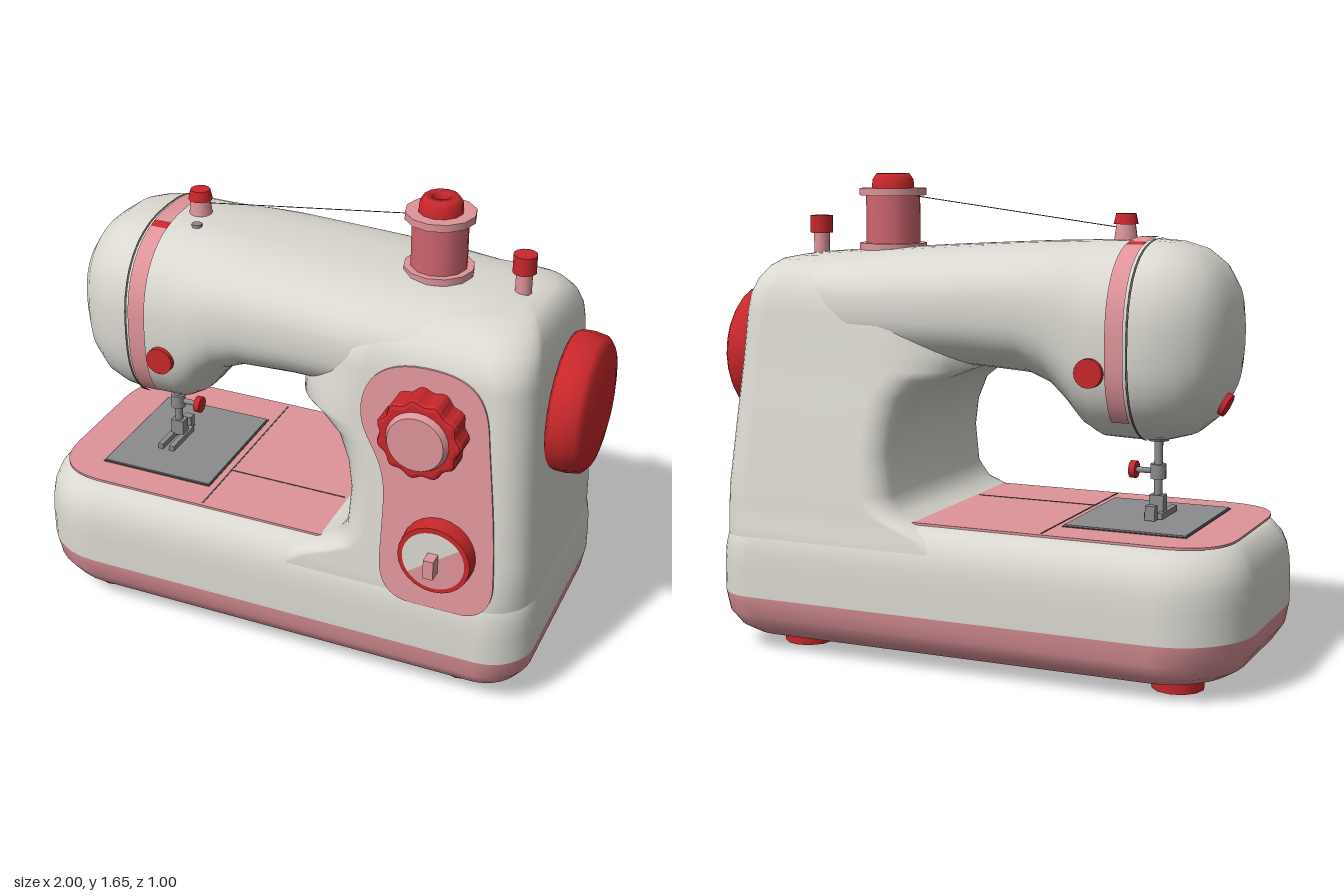
import * as THREE from 'three';

const mat = (name, color) => {
  const m = new THREE.MeshStandardMaterial({ color });
  m.name = name;
  return m;
};

// Closed loft through rings of equal length; ends are fanned shut on request.
function loft(rings, capStart = true, capEnd = true) {
  const n = rings[0].length, pos = rings.flat().flat(), idx = [];
  for (let i = 0; i < rings.length - 1; i++) {
    for (let j = 0; j < n; j++) {
      const a = i * n + j, b = i * n + (j + 1) % n;
      idx.push(a, b, a + n, b, b + n, a + n);
    }
  }
  const cap = (i, flip) => {
    const c = pos.length / 3;
    for (let k = 0; k < 3; k++) pos.push(rings[i].reduce((s, p) => s + p[k], 0) / n);
    for (let j = 0; j < n; j++) {
      const a = i * n + j, b = i * n + (j + 1) % n;
      flip ? idx.push(b, a, c) : idx.push(a, b, c);
    }
  };
  if (capStart) cap(0, true);
  if (capEnd) cap(rings.length - 1, false);
  const g = new THREE.BufferGeometry();
  g.setAttribute('position', new THREE.Float32BufferAttribute(pos, 3));
  g.setIndex(idx);
  g.computeVertexNormals();
  return g;
}

// Rounded rectangle in plan at height y, with separate left and right radii.
function plan(y, x0, x1, z0, z1, rl, rr) {
  const pts = [], k = 8;
  [[x1 - rr, z1 - rr, rr], [x0 + rl, z1 - rl, rl], [x0 + rl, z0 + rl, rl], [x1 - rr, z0 + rr, rr]].forEach(([cx, cz, r], q) => {
    for (let i = 0; i <= k; i++) {
      const t = (q + i / k) * Math.PI / 2;
      pts.push([cx + r * Math.cos(t), y, cz + r * Math.sin(t)]);
    }
  });
  return pts.reverse();
}

const ZC = -0.025;
// Point on the arm's superellipse cross-section.
function armPoint(x, yb, yt, hz, t) {
  const p = (v) => Math.sign(v) * Math.abs(v) ** 0.8;
  return [x, (yb + yt) / 2 + (yt - yb) / 2 * p(Math.sin(t)), ZC + hz * p(Math.cos(t))];
}

// Open strip wrapped around the arm between two angles.
function armStrip(x0, x1, t0, t1, off) {
  const pos = [], idx = [], n = 40;
  for (let i = 0; i <= n; i++) {
    const t = t0 + (t1 - t0) * i / n;
    for (const x of [x0, x1]) pos.push(...armPoint(x, 0.78 - off, 1.443 + off, 0.335 + off, t));
    if (i < n) idx.push(2 * i, 2 * i + 1, 2 * i + 2, 2 * i + 1, 2 * i + 3, 2 * i + 2);
  }
  const g = new THREE.BufferGeometry();
  g.setAttribute('position', new THREE.Float32BufferAttribute(pos, 3));
  g.setIndex(idx);
  g.computeVertexNormals();
  return g;
}

const frontZ = (y) => 0.418 - (y - 0.4) * 0.091;

export function createModel() {
  const group = new THREE.Group();
  const white = mat('warm white', 0xdad8d0);
  const pink = mat('pink', 0xde949a);
  const rose = mat('rose thread', 0xcf6570);
  const red = mat('red', 0xc8272b);
  const grey = mat('metal grey', 0x8c8c8e);
  const dark = mat('dark seam', 0x55504f);

  const add = (name, geo, m, x = 0, y = 0, z = 0) => {
    const mesh = new THREE.Mesh(geo, m);
    mesh.name = name;
    mesh.position.set(x, y, z);
    group.add(mesh);
    return mesh;
  };
  const cyl = (name, m, rt, rb, h, x, y, z, seg = 12) => add(name, new THREE.CylinderGeometry(rt, rb, h, seg), m, x, y, z);
  const disc = (name, m, r, h, x, y, z, seg = 20, r2 = r) => {
    const d = cyl(name, m, r, r2, h, x, y, z, seg);
    d.rotation.x = Math.PI / 2;
    return d;
  };
  const box = (name, m, w, h, d, x, y, z) => add(name, new THREE.BoxGeometry(w, h, d), m, x, y, z);

  // Base: pink skirt below, white tray above
  const baseRing = ([y, i]) => plan(y, -1 + i, 0.895 - i, -0.5 + i, 0.43 - i, 0.27 - i * 0.6, 0.16 - i * 0.5);
  add('baseSkirt', loft([[0.05, 0.14], [0.05, 0.09], [0.08, 0.045], [0.13, 0.012], [0.2, 0]].map(baseRing), true, false), pink);
  add('baseTray', loft([[0.2, 0], [0.3, 0], [0.36, 0.004], [0.4, 0.011], [0.44, 0.027], [0.475, 0.055], [0.492, 0.085], [0.493, 0.14]].map(baseRing), false, true), white);

  // Column: [y, left, right, back, front, left radius, right radius]
  add('column', loft([
    [0.34, -0.1, 0.882, -0.485, 0.414, 0.12, 0.16], [0.4, -0.08, 0.884, -0.487, frontZ(0.4), 0.12, 0.155],
    [0.45, 0, 0.883, -0.477, frontZ(0.45), 0.11, 0.145],
    [0.49, 0.11, 0.882, -0.47, frontZ(0.49), 0.1, 0.135], [0.52, 0.19, 0.88, -0.467, frontZ(0.52), 0.09, 0.13],
    [0.58, 0.232, 0.876, -0.46, frontZ(0.58), 0.09, 0.12], [0.72, 0.24, 0.867, -0.44, frontZ(0.72), 0.09, 0.12],
    [0.82, 0.22, 0.861, -0.425, frontZ(0.82), 0.1, 0.12], [0.91, 0.17, 0.856, -0.41, frontZ(0.91), 0.13, 0.12],
    [0.97, 0.08, 0.853, -0.4, frontZ(0.97), 0.18, 0.12], [1.0, 0.01, 0.851, -0.395, frontZ(1), 0.23, 0.12],
    [1.06, 0, 0.848, -0.387, frontZ(1.06), 0.27, 0.12], [1.18, 0.04, 0.842, -0.372, frontZ(1.18), 0.25, 0.12],
    [1.24, 0.08, 0.835, -0.36, frontZ(1.24), 0.23, 0.12], [1.29, 0.13, 0.822, -0.335, 0.308, 0.21, 0.13],
    [1.33, 0.18, 0.8, -0.295, 0.262, 0.18, 0.13], [1.355, 0.24, 0.77, -0.25, 0.21, 0.14, 0.13],
    [1.366, 0.3, 0.72, -0.18, 0.14, 0.1, 0.1],
  ].map((r) => plan(...r))), white);

  // Arm and domed head: [x, bottom, top, half depth]
  add('arm', loft([
    [-0.86, 1.11, 1.15, 0.03], [-0.85, 1.01, 1.245, 0.13], [-0.83, 0.93, 1.315, 0.195], [-0.79, 0.855, 1.375, 0.25],
    [-0.73, 0.805, 1.418, 0.295], [-0.66, 0.786, 1.438, 0.325], [-0.59, 0.78, 1.443, 0.335], [-0.45, 0.785, 1.44, 0.335],
    [-0.4, 0.815, 1.438, 0.337], [-0.35, 0.88, 1.436, 0.339], [-0.29, 0.945, 1.433, 0.342], [-0.2, 0.985, 1.43, 0.345],
    [0, 1, 1.419, 0.351], [0.2, 1, 1.407, 0.358], [0.4, 1.01, 1.393, 0.355], [0.6, 1.05, 1.379, 0.32],
    [0.7, 1.1, 1.37, 0.25], [0.78, 1.2, 1.335, 0.12],
  ].map((s) => Array.from({ length: 48 }, (_, i) => armPoint(...s, -i / 48 * Math.PI * 2)))), white);

  // Band around the head, with red joints and a dark seam
  const PI = Math.PI;
  add('headSeam', armStrip(-0.6, -0.592, 0, PI * 2, 0.004), dark);
  for (const [a, b] of [[-0.74, 1.2], [1.3, PI - 1.3], [PI - 1.2, PI + 0.74]]) add('headBand', armStrip(-0.585, -0.523, a, b, 0.007), pink);
  for (const [a, b] of [[1.2, 1.3], [PI - 1.3, PI - 1.2]]) add('bandJoint', armStrip(-0.585, -0.523, a, b, 0.006), red);
  add('bandTip', armStrip(-0.6, -0.572, -0.98, -0.76, 0.007), red);

  // Buttons on the head
  disc('frontButton', red, 0.048, 0.04, -0.47, 1.03, 0.305);
  disc('backButton', red, 0.048, 0.04, -0.47, 1.03, -0.355);
  const endButton = cyl('endButton', red, 0.04, 0.04, 0.03, -0.82, 0.907, ZC, 14);
  endButton.rotation.z = PI / 2 + 0.45;

  // Work surface, needle plate and seams
  const flat = (shape, h) => new THREE.ExtrudeGeometry(shape, { depth: h, bevelEnabled: false, curveSegments: 10 }).rotateX(PI / 2);
  const top = new THREE.Shape();
  top.moveTo(0.22, -0.41).lineTo(-0.72, -0.41);
  top.quadraticCurveTo(-0.93, -0.41, -0.93, -0.2).lineTo(-0.93, 0.14);
  top.quadraticCurveTo(-0.93, 0.345, -0.72, 0.345).lineTo(0.22, 0.345);
  add('workSurface', flat(top, 0.008), pink, 0, 0.5, 0);
  box('plateRim', dark, 0.43, 0.004, 0.5, -0.56, 0.501, -0.02);
  box('needlePlate', grey, 0.42, 0.009, 0.49, -0.56, 0.503, -0.02);
  box('surfaceSeam', dark, 0.005, 0.003, 0.72, -0.32, 0.5, -0.03);
  box('surfaceSeam', dark, 0.45, 0.003, 0.005, -0.1, 0.5, 0.1);

  // Needle bar, clamp and presser foot
  cyl('needleBar', grey, 0.015, 0.015, 0.28, -0.595, 0.66, ZC);
  cyl('needleCollar', grey, 0.045, 0.035, 0.02, -0.595, 0.78, ZC);
  cyl('needleClamp', grey, 0.027, 0.027, 0.05, -0.595, 0.665, ZC);
  cyl('clampScrew', grey, 0.01, 0.01, 0.09, -0.55, 0.665, ZC).rotation.z = PI / 2;
  cyl('clampKnob', red, 0.03, 0.03, 0.022, -0.508, 0.665, ZC).rotation.z = PI / 2;
  box('footAnkle', grey, 0.05, 0.06, 0.04, -0.595, 0.555, ZC);
  for (const s of [-1, 1]) box('footToe', grey, 0.02, 0.02, 0.16, -0.595 + s * 0.022, 0.52, ZC + 0.03);
  box('footRear', grey, 0.035, 0.05, 0.03, -0.595, 0.535, ZC - 0.07);

  // Control panel, leaning with the column front
  const panel = new THREE.Shape();
  panel.moveTo(0.5, 0.378).lineTo(0.68, 0.378);
  panel.bezierCurveTo(0.75, 0.385, 0.785, 0.44, 0.778, 0.52);
  panel.bezierCurveTo(0.77, 0.72, 0.74, 0.9, 0.722, 1.06);
  panel.bezierCurveTo(0.705, 1.19, 0.64, 1.232, 0.5, 1.232);
  panel.bezierCurveTo(0.34, 1.232, 0.285, 1.14, 0.287, 1.05);
  panel.bezierCurveTo(0.29, 0.93, 0.38, 0.92, 0.383, 0.74);
  panel.lineTo(0.38, 0.52);
  panel.bezierCurveTo(0.38, 0.43, 0.42, 0.378, 0.5, 0.378);
  const panelGeo = new THREE.ExtrudeGeometry(panel, { depth: 0.009, bevelEnabled: false, curveSegments: 12 });
  const pp = panelGeo.attributes.position;
  for (let i = 0; i < pp.count; i++) pp.setZ(i, pp.getZ(i) - 0.002 + frontZ(pp.getY(i)));
  panelGeo.computeVertexNormals();
  add('controlPanel', panelGeo, pink);

  // Scalloped upper dial
  const scallop = new THREE.Shape(Array.from({ length: 66 }, (_, i) => {
    const t = i / 66 * PI * 2, r = 0.139 + 0.007 * Math.cos(11 * t);
    return new THREE.Vector2(r * Math.cos(t), r * Math.sin(t));
  }));
  add('upperDial', new THREE.ExtrudeGeometry(scallop, { depth: 0.08, bevelEnabled: true, bevelSize: 0.016, bevelThickness: 0.014, bevelOffset: -0.016, bevelSegments: 2 }), red, 0.515, 1.025, 0.358);
  disc('upperDialCap', pink, 0.095, 0.024, 0.515, 1.025, 0.461, 24, 0.108);

  // Lower dial with two-tone face and grip
  disc('lowerDial', red, 0.125, 0.08, 0.585, 0.59, 0.415, 24, 0.132);
  add('lowerDialFace', new THREE.CircleGeometry(0.108, 20, PI * 0.2, PI), white, 0.585, 0.59, 0.458);
  add('lowerDialFace', new THREE.CircleGeometry(0.108, 20, PI * 1.2, PI), pink, 0.585, 0.59, 0.458);
  box('lowerDialGrip', pink, 0.035, 0.07, 0.05, 0.585, 0.585, 0.48);

  // Handwheel
  const wheel = [[0, 0.855], [0.23, 0.857], [0.237, 0.87], [0.238, 0.91], [0.23, 0.955], [0.205, 0.975], [0.13, 0.99], [0, 1]].map(([r, h]) => new THREE.Vector2(r, h));
  add('handwheel', new THREE.LatheGeometry(wheel, 24), red, 0, 1.008, -0.022).rotation.z = -PI / 2;

  // Thread spool with hollow cap
  cyl('spoolFlange', pink, 0.118, 0.118, 0.024, 0.4, 1.398, ZC);
  cyl('spoolThread', rose, 0.095, 0.095, 0.18, 0.4, 1.49, ZC);
  cyl('spoolFlange', pink, 0.118, 0.118, 0.025, 0.4, 1.588, ZC);
  const cap = [[0.075, 1.595], [0.072, 1.63], [0.058, 1.652], [0.03, 1.652], [0.03, 1.61]].map(([r, y]) => new THREE.Vector2(r, y));
  add('spoolCap', new THREE.LatheGeometry(cap, 12), red, 0.4, 0, ZC);
  cyl('spoolPin', pink, 0.03, 0.03, 0.03, 0.4, 1.61, ZC);

  // Thread guides and thread
  cyl('guidePost', pink, 0.032, 0.042, 0.07, -0.47, 1.46, ZC);
  cyl('guideCap', red, 0.034, 0.042, 0.035, -0.47, 1.508, ZC);
  cyl('winderPost', pink, 0.028, 0.028, 0.1, 0.69, 1.4, ZC);
  cyl('winderCap', red, 0.04, 0.04, 0.062, 0.69, 1.47, ZC);
  cyl('threadEyelet', grey, 0.018, 0.018, 0.02, -0.437, 1.432, 0.07);
  const line = new THREE.LineCurve3(new THREE.Vector3(-0.45, 1.478, ZC), new THREE.Vector3(0.32, 1.575, ZC));
  add('thread', new THREE.TubeGeometry(line, 1, 0.0015, 4), dark);

  // Feet
  for (const x of [-0.75, 0.63]) for (const z of [0.21, -0.255]) cyl('foot', red, 0.092, 0.088, 0.055, x, 0.0275, z);

  return group;
}
